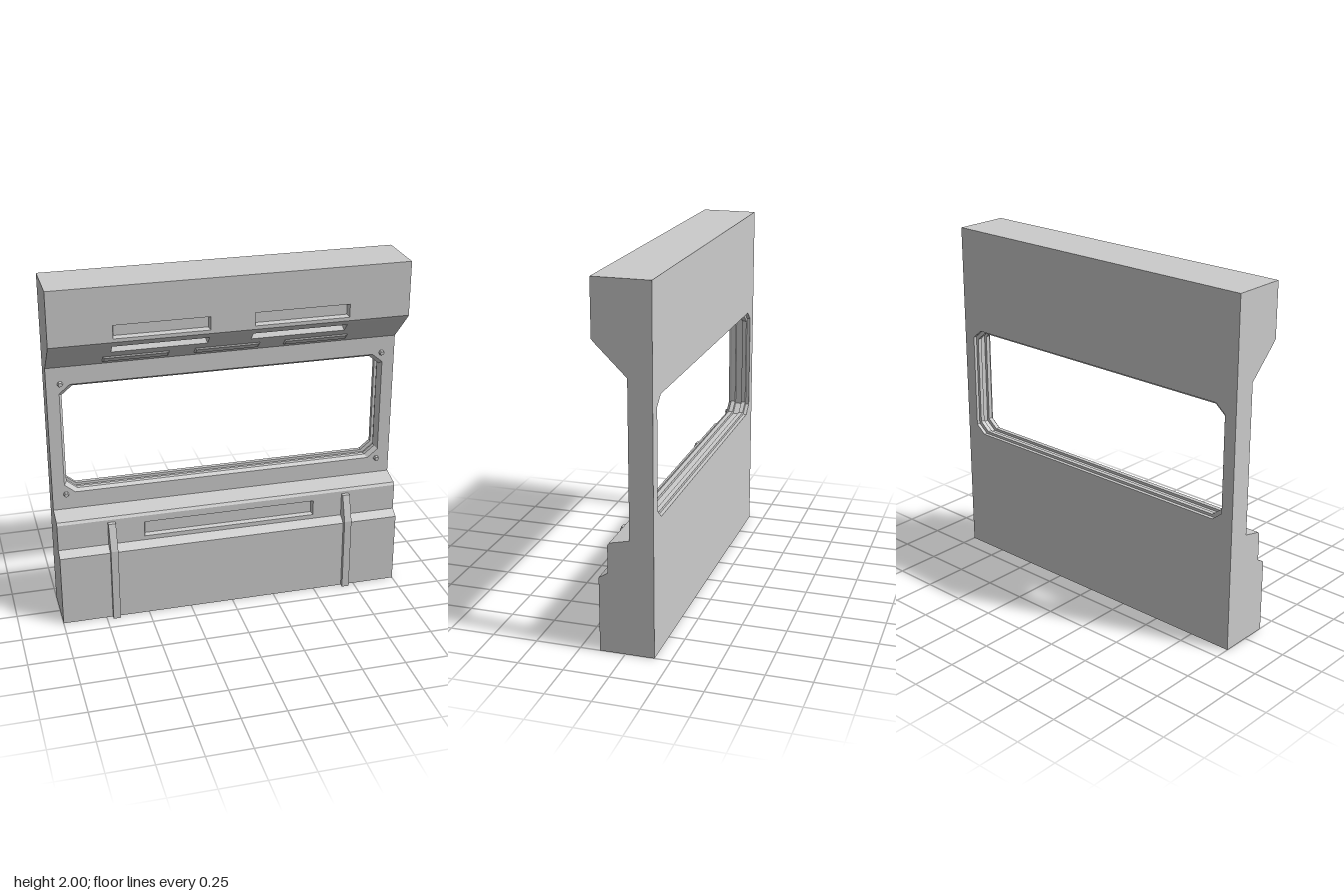
import * as THREE from 'three';

const grey = new THREE.MeshStandardMaterial({ color: 0xcccccc, flatShading: true });
const greyDouble = new THREE.MeshStandardMaterial({ color: 0xcccccc, flatShading: true, side: THREE.DoubleSide });

function mesh(name, geometry, material = grey) {
  const m = new THREE.Mesh(geometry, material);
  m.name = name;
  return m;
}

const shapeOf = (pts) => new THREE.Shape(pts.map(([x, y]) => new THREE.Vector2(x, y)));

// Counter-clockwise rectangle, shrunk by an inset
const rect = (x0, x1, y0, y1, i = 0) => [
  [x0 + i, y0 + i], [x1 - i, y0 + i], [x1 - i, y1 - i], [x0 + i, y1 - i]];

// Window outline with clipped corners, widened by o
function windowOutline(o) {
  const x = 0.915 + o, y0 = 0.76 - o, y1 = 1.385 + o, cx = 0.06, cy = 0.05;
  return [[-x + cx, y0], [x - cx, y0], [x, y0 + cy], [x, y1 - cy],
    [x - cx, y1], [-x + cx, y1], [-x, y1 - cy], [-x, y0 + cy]];
}

// Joins outlines at successive heights with flat quads; cap closes the last one
function loft(rings, cap) {
  const pos = [];
  const tri = (...ps) => ps.forEach((p) => pos.push(...p));
  const at = (r, i) => [...r.pts[i % r.pts.length], r.z];
  for (let k = 0; k < rings.length - 1; k++) {
    const r = rings[k], s = rings[k + 1];
    for (let i = 0; i < r.pts.length; i++) {
      tri(at(r, i), at(r, i + 1), at(s, i));
      tri(at(r, i + 1), at(s, i + 1), at(s, i));
    }
  }
  const last = rings[rings.length - 1];
  if (cap) for (let i = 1; i < last.pts.length - 1; i++) tri(at(last, 0), at(last, i), at(last, i + 1));
  const g = new THREE.BufferGeometry();
  g.setAttribute('position', new THREE.Float32BufferAttribute(pos, 3));
  g.computeVertexNormals();
  return g;
}

// Full-width strip between two profile points, with slots, raised bars or a window
function strip(name, a, b, { slots = [], bars = [], opening } = {}) {
  const [za, ya] = a, [zb, yb] = b;
  const len = Math.hypot(zb - za, yb - ya);
  const toV = (y) => (y - ya) / (yb - ya) * len;
  const group = new THREE.Group();
  group.name = name;
  const shape = shapeOf(rect(-1, 1, 0, len));
  for (const [x0, x1, y0, y1, depth] of slots) {
    const v0 = toV(y0), v1 = toV(y1), outer = rect(x0, x1, v0, v1);
    shape.holes.push(new THREE.Path(shapeOf(outer).getPoints()));
    group.add(mesh('slotRecess', loft([
      { pts: outer, z: 0 }, { pts: rect(x0, x1, v0, v1, 0.008), z: -depth }], true)));
  }
  for (const [x0, x1, y0, y1, height] of bars) {
    const v0 = toV(y0), v1 = toV(y1);
    group.add(mesh('raisedBar', loft([
      { pts: rect(x0, x1, v0, v1), z: 0 }, { pts: rect(x0, x1, v0, v1, 0.008), z: height }], true)));
  }
  if (opening) shape.holes.push(new THREE.Path(shapeOf(opening.map(([x, y]) => [x, toV(y)])).getPoints()));
  group.add(mesh(name + 'Face', new THREE.ShapeGeometry(shape)));
  const v = new THREE.Vector3(0, yb - ya, zb - za).normalize();
  const x = new THREE.Vector3(1, 0, 0);
  group.applyMatrix4(new THREE.Matrix4()
    .makeBasis(x, v, new THREE.Vector3().crossVectors(x, v)).setPosition(0, ya, za));
  return group;
}

export function createModel() {
  const model = new THREE.Group();
  model.name = 'wallPanel';

  // Side profile as [z, y], with the strip that starts at each point
  const pair = (y0, y1, d) => [[-0.655, -0.125, y0, y1, d], [0.12, 0.655, y0, y1, d]];
  const profile = [
    [0.14, 0, 'lowerFront'],
    [0.14, 0.42, 'lowerLedge'],
    [0.09, 0.45, 'vent', { slots: [[-0.505, 0.5, 0.475, 0.565, 0.025]] }],
    [0.09, 0.605, 'sillBevel'],
    [0.08, 0.62, 'sill'],
    [-0.03, 0.645, 'windowWall', { opening: windowOutline(0.015) }],
    [-0.03, 1.505, 'overhang', {
      slots: pair(1.605, 1.655, 0.03),
      bars: [-0.51, 0, 0.51].map((x) => [x - 0.183, x + 0.183, 1.525, 1.565, 0.007]),
    }],
    [0.14, 1.672, 'overhangEdge'],
    [0.155, 1.69, 'upperFront', { slots: pair(1.71, 1.785, 0.03) }],
    [0.155, 2, 'top'],
    [-0.16, 2, 'back', { opening: windowOutline(0.015) }],
    [-0.16, 0, 'bottom'],
  ];
  profile.forEach(([z, y, name, options], i) => {
    const next = profile[(i + 1) % profile.length];
    model.add(strip(name, [z, y], next, options));
  });

  // Flat ends
  for (const side of [-1, 1]) {
    const end = new THREE.ShapeGeometry(shapeOf(profile));
    end.rotateY(-Math.PI / 2).translate(side, 0, 0);
    model.add(mesh(side > 0 ? 'leftEnd' : 'rightEnd', end, greyDouble));
  }

  // Stepped window reveal, front to back as [z, widening]
  const steps = [[-0.03, 0.015], [-0.05, 0], [-0.075, 0], [-0.075, 0.015],
    [-0.115, 0.015], [-0.115, 0], [-0.14, 0], [-0.14, 0.015], [-0.16, 0.015]];
  model.add(mesh('windowReveal', loft(steps.map(([z, o]) => ({ pts: windowOutline(o), z })), false)));

  // Ribs over the lower front
  const ribShape = shapeOf([[0.05, 0], [0.165, 0], [0.165, 0.44], [0.115, 0.59], [0.05, 0.59]]);
  for (const side of [-1, 1]) {
    const rib = new THREE.ExtrudeGeometry(ribShape, { depth: 0.042, bevelEnabled: false });
    rib.translate(0, 0, -0.021).rotateY(-Math.PI / 2).translate(side * 0.693, 0, 0);
    model.add(mesh('rib', rib));
  }

  // Hexagonal bolts at the window corners
  for (const x of [-0.923, 0.923]) {
    for (const y of [0.737, 1.407]) {
      const bolt = new THREE.CylinderGeometry(0.012, 0.017, 0.018, 6);
      bolt.rotateY(Math.PI / 6).rotateX(Math.PI / 2).translate(x, y, -0.021);
      model.add(mesh('bolt', bolt));
    }
  }
  return model;
}
